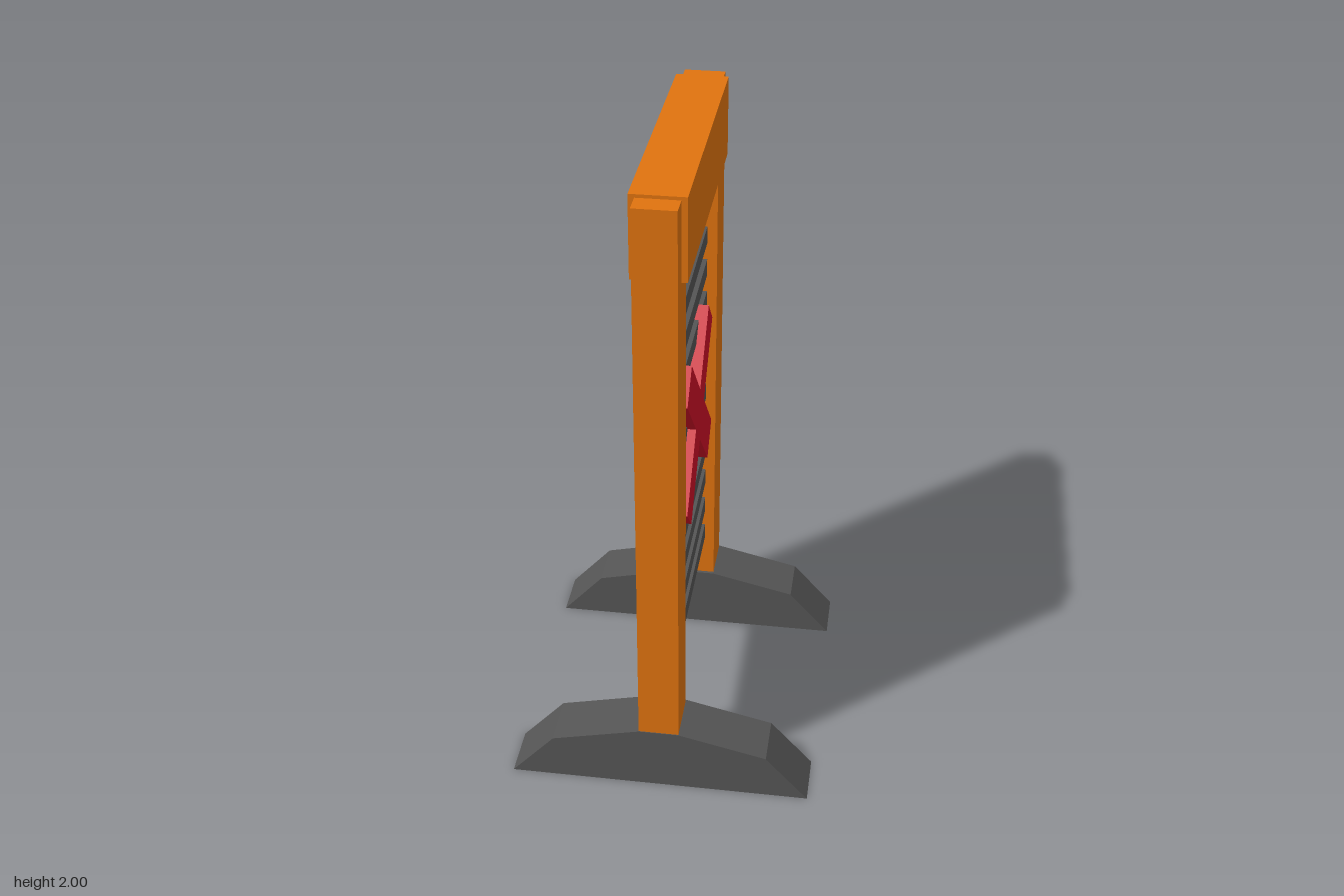
import * as THREE from 'three';

const paint = (color) => new THREE.MeshStandardMaterial({ color, flatShading: true });

export function createModel() {
  const model = new THREE.Group();
  const orange = paint(0xe0730f), grey = paint(0x555555), red = paint(0xcc1026);

  const add = (name, geometry, material, parent = model) => {
    const mesh = new THREE.Mesh(geometry, material);
    mesh.name = name;
    parent.add(mesh);
    return mesh;
  };
  // Box given by its limits on each axis
  const box = (name, [x0, x1], [y0, y1], [z0, z1], material, parent) =>
    add(name, new THREE.BoxGeometry(x1 - x0, y1 - y0, z1 - z0), material, parent)
      .position.set((x0 + x1) / 2, (y0 + y1) / 2, (z0 + z1) / 2);
  const extrude = (points, depth) => {
    const shape = new THREE.Shape(points.map(([x, y]) => new THREE.Vector2(x, y)));
    return new THREE.ExtrudeGeometry(shape, { depth, bevelEnabled: false }).translate(0, 0, -depth / 2);
  };

  // Feet and posts at both ends
  const footProfile = [[-0.47, 0], [0.47, 0], [0.337, 0.147], [0.063, 0.21], [-0.063, 0.21], [-0.337, 0.147]];
  for (const [end, s] of [['front', 1], ['back', -1]]) {
    add(end + 'Foot', extrude(footProfile, 0.17), grey).position.z = s * 0.424;
    const post = add(end + 'Post', new THREE.BoxGeometry(0.125, 1.79, 0.157), orange);
    post.position.set(0, 1.095, s * 0.428);
  }

  // Top beam
  box('topBeam', [-0.08, 0.08], [1.75, 2], [-0.44, 0.44], orange);

  // Shutter: flat on one side, ribbed on the other
  const shutter = new THREE.Group();
  shutter.name = 'shutter';
  model.add(shutter);
  box('shutterPanel', [-0.031, 0.005], [0.355, 1.77], [-0.352, 0.352], grey, shutter);
  const step = 0.0565;
  for (let i = 0; i < 13; i++) {
    const y = 0.355 + 2 * step * i;
    box('shutterRib', [0.004, 0.031], [y, y + step], [-0.352, 0.352], grey, shutter);
  }

  // Diagonal cross running through the shutter
  const l = 0.333, w = 0.064;
  const outline = [[w, w], [w, l], [-w, l], [-w, w], [-l, w], [-l, -w],
    [-w, -w], [-w, -l], [w, -l], [w, -w], [l, -w], [l, w]];
  const cross = add('cross', extrude(outline, 0.115).rotateZ(Math.PI / 4).rotateY(Math.PI / 2), red);
  cross.position.y = 1.07;

  return model;
}
